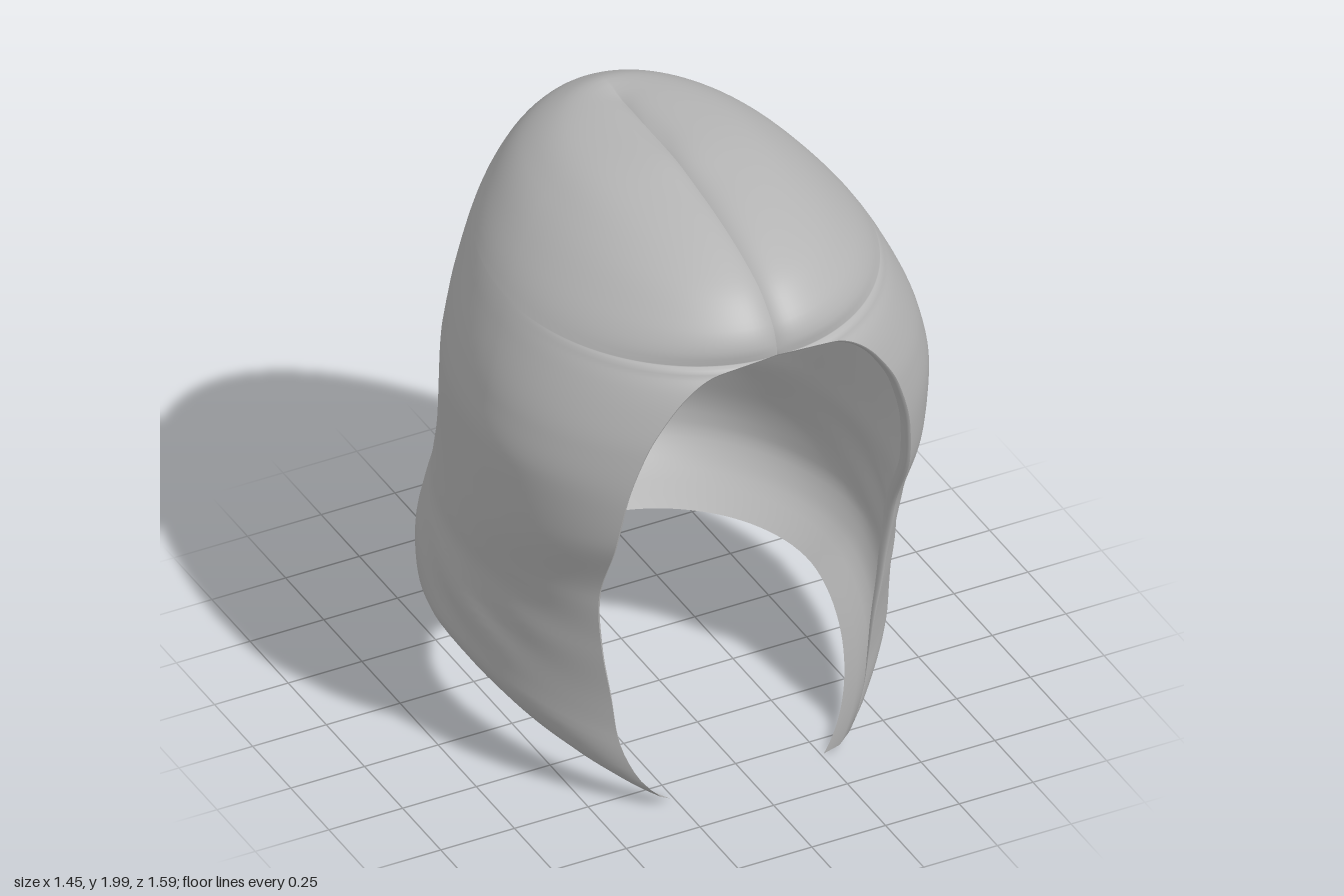
import * as THREE from 'three';

// Smooth monotone curve through [height, value] pairs listed from the top down
function track(pairs) {
  const key = h => Math.sqrt(Math.max(0, 2 - h) / 2);
  const t = pairs.map(p => key(p[0])), v = pairs.map(p => p[1]), n = t.length;
  const d = i => (v[i + 1] - v[i]) / (t[i + 1] - t[i]);
  const m = v.map((_, i) => {
    if (i === 0) return d(0);
    if (i === n - 1) return d(n - 2);
    const a = d(i - 1), b = d(i);
    return a * b <= 0 ? 0 : 2 * a * b / (a + b);
  });
  return h => {
    const x = key(h);
    if (x <= t[0]) return v[0];
    if (x >= t[n - 1]) return v[n - 1];
    let i = 0;
    while (x > t[i + 1]) i++;
    const w = t[i + 1] - t[i], s = (x - t[i]) / w, s2 = s * s, s3 = s2 * s;
    return v[i] * (2 * s3 - 3 * s2 + 1) + m[i] * w * (s3 - 2 * s2 + s)
      + v[i + 1] * (3 * s2 - 2 * s3) + m[i + 1] * w * (s3 - s2);
  };
}

const ARCH = 1.67; // height of the top of the face opening
const { smoothstep } = THREE.MathUtils;

// Face edge (centre line above the arch)
const edgeX = track([[ARCH, 0], [1.667, 0.1], [1.65, 0.2], [1.6, 0.29], [1.5, 0.375], [1.4, 0.43],
  [1.2, 0.485], [1, 0.5], [0.8, 0.5], [0.6, 0.48], [0.4, 0.445], [0.24, 0.42], [0.12, 0.375], [0.05, 0.32], [0, 0.26]]);
const edgeZ = track([[2, 0.05], [1.98, 0.24], [1.95, 0.4], [1.9, 0.57], [1.85, 0.68], [1.8, 0.74], [1.75, 0.78],
  [1.7, 0.795], [ARCH, 0.79], [1.64, 0.77], [1.6, 0.765], [1.4, 0.74], [1.2, 0.71], [1.06, 0.68], [0.8, 0.57], [0.6, 0.55],
  [0.3, 0.545], [0.12, 0.575], [0.04, 0.6], [0, 0.575]]);
// Widest point of the side
const sideX = track([[2, 0], [1.97, 0.25], [1.9, 0.38], [1.8, 0.49], [1.7, 0.57], [1.6, 0.625], [1.4, 0.7], [1.25, 0.725],
  [1, 0.715], [0.8, 0.7], [0.68, 0.69], [0.55, 0.7], [0.4, 0.705], [0.25, 0.705], [0.12, 0.66], [0, 0.54]]);
const sideZ = track([[2, -0.03], [1.9, 0], [1.7, 0.12], [1.3, 0.22], [1, 0.18], [0.6, 0.02], [0.3, -0.05], [0, -0.05]]);
const sideLift = track([[2, 0], [0.95, 0], [0.6, 0.06], [0.4, 0.12], [0.25, 0.16], [0.12, 0.195], [0, 0.23]]);
// Back centre line, curling under to the neck
const backZ = track([[2, -0.1], [1.98, -0.36], [1.95, -0.43], [1.9, -0.5], [1.8, -0.57], [1.7, -0.605], [1.4, -0.65],
  [1.2, -0.67], [1, -0.69], [0.8, -0.725], [0.6, -0.775], [0.4, -0.8], [0.25, -0.78], [0.12, -0.7], [0, -0.55]]);
const backLift = track([[2, 0], [0.95, 0], [0.6, 0.04], [0.4, 0.1], [0.25, 0.17], [0.12, 0.21], [0, 0.25]]);

// Point on the left half: u = 0 face edge, 1 side, 2 back centre
function hoodPoint(h, u) {
  const sx = sideX(h), sz = sideZ(h), sy = h + sideLift(h);
  const p = new THREE.Vector3();
  if (u <= 1) {
    // Arc of an ellipse that starts where the face opening cuts it
    const start = h < ARCH ? Math.asin(edgeX(h) / sx) : 0;
    const a = start + (Math.PI / 2 - start) * Math.pow(u, 1.4);
    const c = Math.cos(a) / Math.cos(start);
    p.set(sx * Math.sin(a), sy + (h - sy) * Math.pow(Math.max(0, c), 1.5), sz + (edgeZ(h) - sz) * c);
  } else {
    const a = Math.PI / 2 * (1 - Math.pow(2 - u, 1.2)), s = Math.sin(a);
    p.set(sx * Math.cos(a), sy + (h + backLift(h) - sy) * s, sz + (backZ(h) - sz) * s);
  }
  // Centre seam sunk into the crown and forehead
  const depth = 0.03 * Math.exp(-Math.abs(p.x) / 0.045)
    * smoothstep(p.z, -0.37, -0.25) * smoothstep(h, 1.6, 1.72);
  p.addScaledVector(new THREE.Vector3(0, 1.3 - p.y, -p.z).normalize(), depth);
  // Soft cloth folds low on the cheek
  const fold = Math.exp(-(((p.y - 0.52) / 0.13) ** 2) - (((p.z - 0.05) / 0.28) ** 2));
  p.x += 0.007 * fold * Math.sin(24 * p.y + 14 * p.z) * Math.min(1, p.x / 0.3);
  return p;
}

// Smooth surface over a grid of points, given row by row
function gridGeometry(rows) {
  const n = rows[0].length, index = [];
  for (let i = 0; i < rows.length - 1; i++) {
    for (let j = 0; j < n - 1; j++) {
      const a = i * n + j, b = a + n;
      index.push(a, b, a + 1, b, b + 1, a + 1);
    }
  }
  const g = new THREE.BufferGeometry().setFromPoints(rows.flat());
  g.setIndex(index);
  g.computeVertexNormals();
  return g;
}

const mirror = p => new THREE.Vector3(-p.x, p.y, p.z);

function shellRows() {
  const heights = [], half = 56;
  for (let i = 0; i < 30; i++) heights.push(2 - (2 - ARCH) * (i / 30) ** 2);
  for (let i = 0; i <= 80; i++) heights.push(ARCH * (1 - (i / 80) ** 1.6));
  return heights.map(h => {
    const left = [];
    for (let j = 0; j <= half; j++) left.push(hoodPoint(h, 2 * j / half));
    return [...left, ...left.slice(0, -1).reverse().map(mirror)];
  });
}

// Narrow lip turning inward from the face edge, fading out at the chin
function hemRows() {
  const left = [];
  for (let i = 0; i <= 80; i++) {
    const p = hoodPoint(ARCH * (1 - (i / 80) ** 1.6), 0);
    const r = 0.015 * smoothstep(p.y, 0.05, 0.9);
    const inward = new THREE.Vector3(-p.x, Math.min(0, 1.1 - p.y), 0).normalize();
    const row = [];
    for (let k = 0; k <= 5; k++) {
      const t = Math.PI / 2 * k / 5;
      const q = p.clone().addScaledVector(inward, r * Math.sin(t));
      q.z -= 2.5 * r * (1 - Math.cos(t));
      row.push(q);
    }
    left.push(row.reverse());
  }
  return [...left.slice(1).reverse().map(row => row.map(mirror)), ...left];
}

export function createModel() {
  const group = new THREE.Group();
  group.name = 'hood';
  const cloth = new THREE.MeshStandardMaterial({ color: 0xb4b4b4, side: THREE.DoubleSide });
  cloth.name = 'grey cloth';

  const shell = new THREE.Mesh(gridGeometry(shellRows()), cloth);
  shell.name = 'hoodShell';
  const hem = new THREE.Mesh(gridGeometry(hemRows()), cloth);
  hem.name = 'faceHem';
  group.add(shell, hem);
  return group;
}
